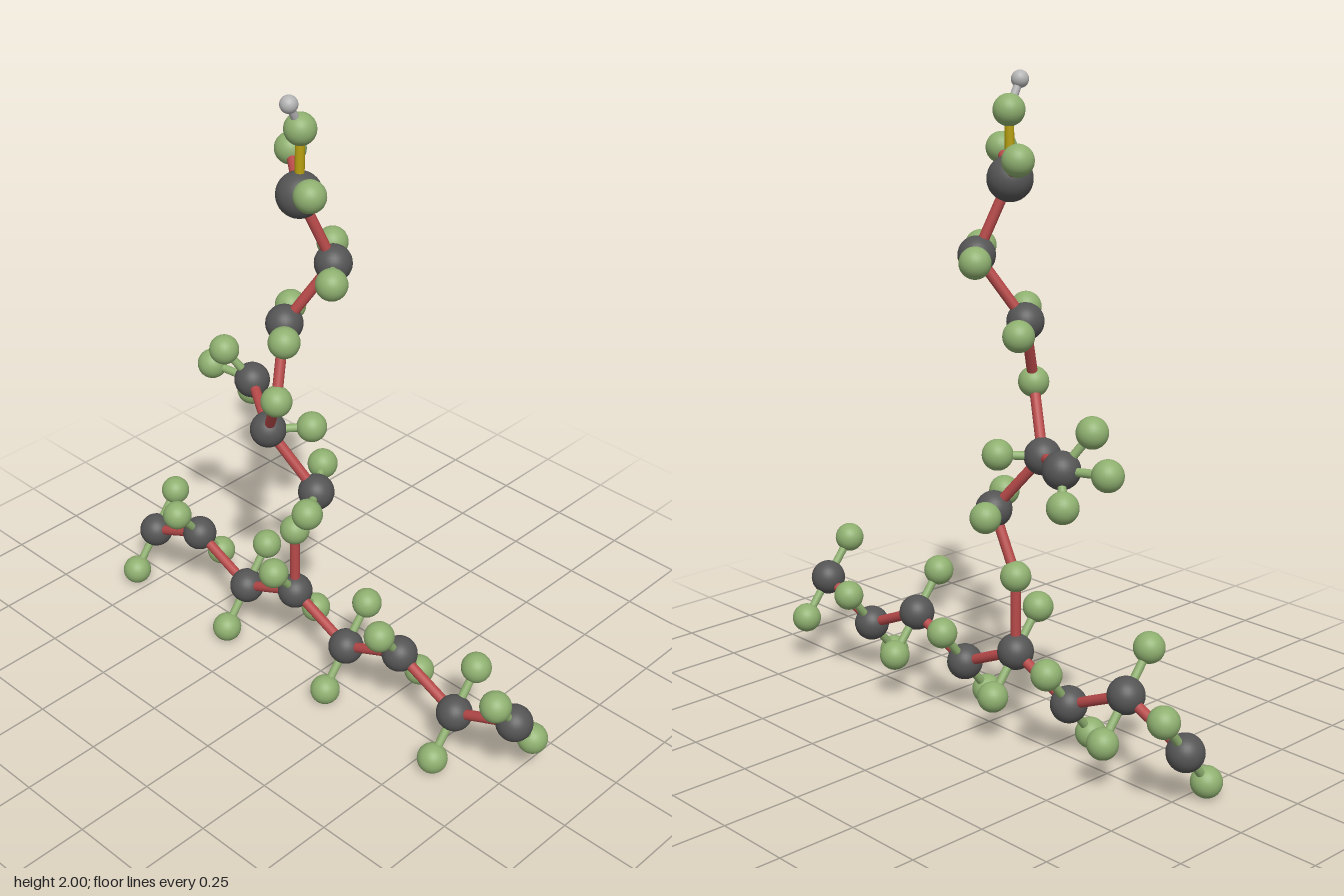
import * as THREE from 'three';

const paint = (color) => new THREE.MeshStandardMaterial({ color });

export function createModel() {
  const model = new THREE.Group();
  const dark = paint(0x555555), green = paint(0x8fb070), pale = paint(0xb4b4b4);
  const red = paint(0xb84a4a), yellow = paint(0xb8a010);

  const ball = (name, p, r, mat) => {
    const mesh = new THREE.Mesh(new THREE.SphereGeometry(r, 28, 18), mat);
    mesh.name = name;
    mesh.position.set(...p);
    model.add(mesh);
    return p;
  };

  // Rod between two ball centres
  const rod = (name, a, b, r, mat) => {
    const from = new THREE.Vector3(...a), to = new THREE.Vector3(...b);
    const dir = to.clone().sub(from);
    const mesh = new THREE.Mesh(new THREE.CylinderGeometry(r, r, dir.length(), 16, 1, true), mat);
    mesh.name = name;
    mesh.position.copy(from).add(to).multiplyScalar(0.5);
    mesh.quaternion.setFromUnitVectors(new THREE.Vector3(0, 1, 0), dir.normalize());
    model.add(mesh);
  };

  const node = (p, r = 0.056) => ball('darkBall', p, r, dark);
  const joint = (p) => ball('greenJoint', p, 0.047, green);
  const link = (a, b) => rod('redRod', a, b, 0.016, red);
  const branch = (p, ends, mat = green, r = 0.013) => ends.forEach((e) => {
    ball('greenBall', e, 0.047, green);
    rod('sideRod', p, e, r, mat);
  });

  // Zigzag base chain, each dark ball with two green side balls
  const base = [];
  for (let i = 0; i < 8; i++) {
    const x = -0.795 + i * 0.2265, high = i % 2 === 1;
    const y = high ? 0.27 : 0.17, s = high ? 1 : -1;
    const p = node([x, y, 0]);
    branch(p, [[x, y + 0.12, 0.095 * s], [x, y - 0.12, -0.095 * s]]);
    if (i) link(base[i - 1], p);
    base.push(p);
  }

  // Main balls of the upright chain
  const lowJoint = joint([-0.115, 0.51, 0]);
  const lower = node([-0.02, 0.7, 0]);
  const fork = node([-0.17, 0.885, 0.055]);
  const arm = node([-0.38, 0.915, -0.08]);
  const midJoint = joint([-0.045, 1.075, 0.14]);
  const middle = node([-0.1, 1.28, 0.05]);
  const upper = node([0, 1.475, -0.05]);
  const head = node([-0.06, 1.695, 0.025], 0.068);

  const chain = [base[3], lowJoint, lower, fork, midJoint, middle, upper, head];
  for (let i = 1; i < chain.length; i++) link(chain[i - 1], chain[i]);
  link(fork, arm);

  // Green side balls of the upright chain
  branch(lower, [[-0.1, 0.715, -0.11], [0.06, 0.715, 0.12]]);
  branch(fork, [[-0.08, 0.89, -0.042]]);
  branch(arm, [[-0.53, 0.925, -0.05], [-0.44, 1.025, -0.02], [-0.44, 0.83, -0.135]]);
  branch(middle, [[-0.185, 1.265, -0.06], [0, 1.295, 0.15]]);
  branch(upper, [[-0.095, 1.475, -0.145], [0.095, 1.48, 0.055]]);
  branch(head, [[-0.19, 1.765, -0.07], [0.075, 1.765, 0.12]], red, 0.016);

  // Yellow rod, top green ball and small pale tip
  const top = joint([-0.06, 1.89, 0.02]);
  rod('yellowRod', head, top, 0.014, yellow);
  const tip = ball('paleTip', [-0.06, 1.974, 0.063], 0.026, pale);
  rod('paleRod', top, tip, 0.012, pale);

  return model;
}
